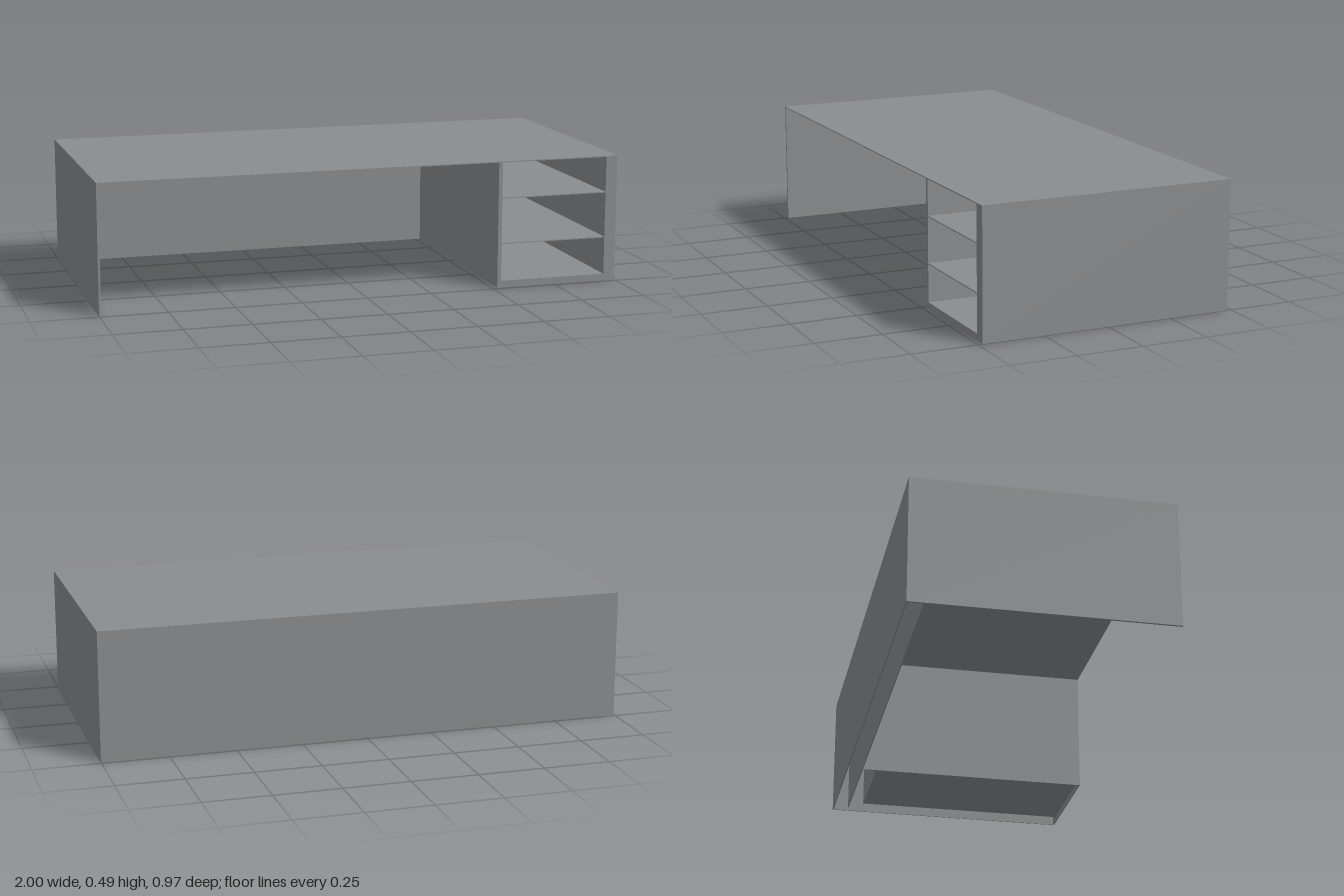
import * as THREE from 'three';

const grey = new THREE.MeshStandardMaterial({ color: 0x8a8d8f });
grey.name = 'grey';

const T = 0.004;            // sheet thickness
const H = 0.485;            // desk height
const BACK = -0.485, FRONT = 0.485;

export function createModel() {
  const desk = new THREE.Group();
  desk.name = 'desk';

  // Box given by its lower and upper bounds on each axis
  const panel = (parent, name, [x0, x1], [y0, y1], [z0, z1]) => {
    const mesh = new THREE.Mesh(new THREE.BoxGeometry(x1 - x0, y1 - y0, z1 - z0), grey);
    mesh.position.set((x0 + x1) / 2, (y0 + y1) / 2, (z0 + z1) / 2);
    mesh.name = name;
    parent.add(mesh);
  };

  // Outer shell
  const under = H - T;
  panel(desk, 'deskTop', [-1, 1], [under, H], [BACK, FRONT]);
  panel(desk, 'farSidePanel', [-1, -0.992], [0, under], [BACK, FRONT]);
  panel(desk, 'cabinetSidePanel', [1 - T, 1], [0, under], [BACK, FRONT]);
  panel(desk, 'backPanel', [-0.992, 1 - T], [0, under], [BACK, BACK + T]);
  // Inner skin of the hollow back wall
  panel(desk, 'modestyPanel', [-0.992, 0.955], [0, under], [BACK + 0.06, BACK + 0.06 + T]);

  // Open cabinet: outer wall, face frame and a raised inner box
  const cabinet = new THREE.Group();
  cabinet.name = 'cabinet';
  desk.add(cabinet);
  const L = 0.535, R = 0.955, floor = 0.026, boxBack = BACK + 0.125;
  panel(cabinet, 'kneeholeWall', [0.52, 0.52 + T], [0, under], [BACK + 0.06 + T, FRONT]);
  panel(cabinet, 'frameStile', [0.52 + T, L], [0, under], [FRONT - T, FRONT]);
  panel(cabinet, 'frameStile', [R, 1 - T], [0, under], [FRONT - T, FRONT]);
  panel(cabinet, 'frameRail', [L, R], [0, floor], [FRONT - T, FRONT]);
  panel(cabinet, 'innerWall', [L - T, L], [floor - T, under], [boxBack, FRONT - T]);
  panel(cabinet, 'innerWall', [R, R + T], [floor - T, under], [boxBack, FRONT - T]);
  panel(cabinet, 'innerBack', [L, R], [floor, under], [boxBack, boxBack + T]);
  panel(cabinet, 'cabinetFloor', [L, R], [floor - T, floor], [boxBack, FRONT - T]);

  // Shelves
  for (const y of [0.172, 0.347]) {
    panel(cabinet, 'shelf', [L, R], [y - T, y], [boxBack + T, FRONT]);
  }
  return desk;
}
